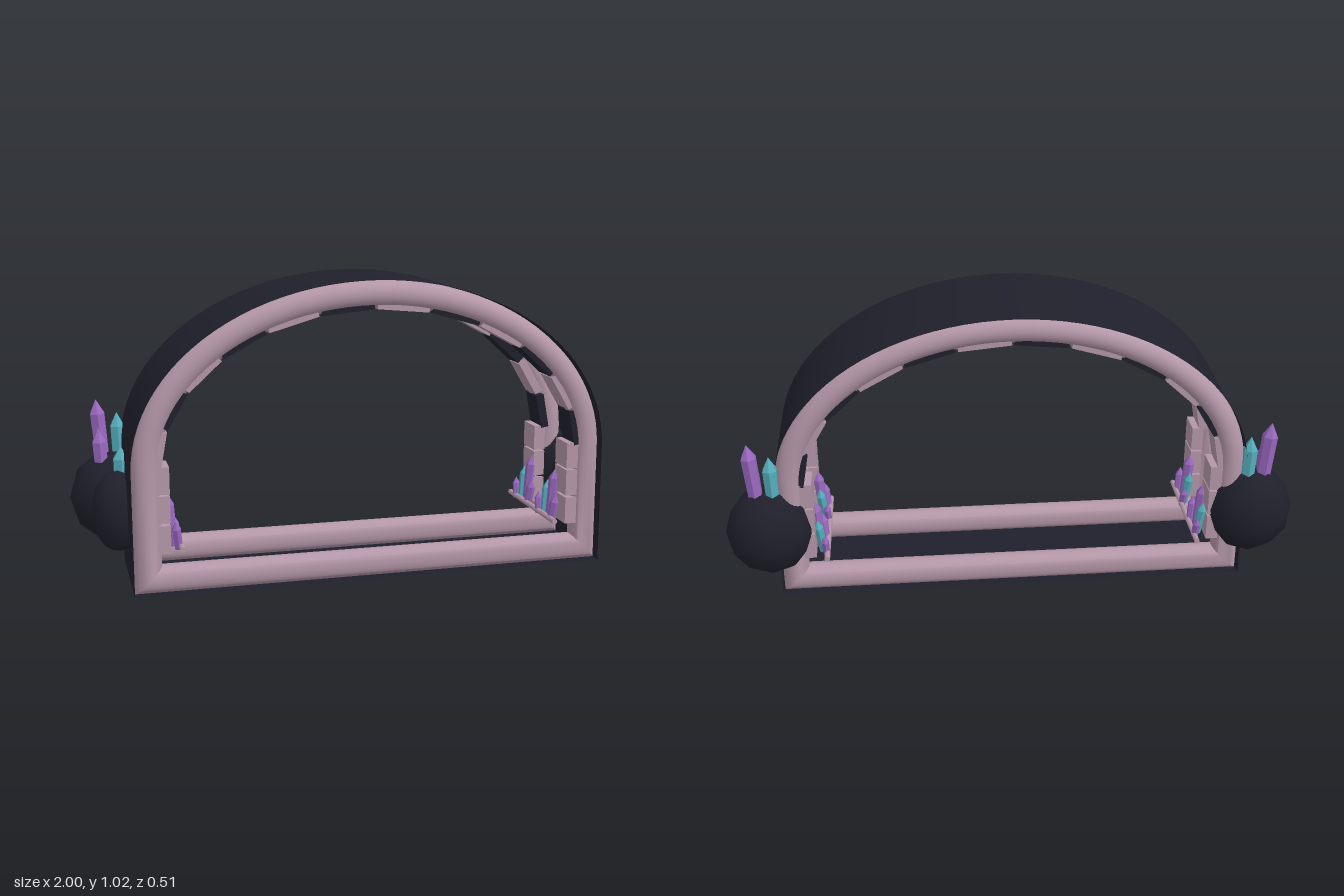
import * as THREE from 'three';
import { toCreasedNormals } from 'three/addons/utils/BufferGeometryUtils.js';

const flat = (name, color, side = THREE.FrontSide) => {
  const m = new THREE.MeshStandardMaterial({ color, side });
  m.name = name;
  return m;
};

const HALF = 0.82, SPRING = 0.42, RISE = 0.602;   // gate outline
const Z_FRONT = 0.26, Z_BACK = -0.17, R = 0.047;  // depth and rim radius

// Closed outline, counter-clockwise: square base, straight legs, elliptical arch
function gateOutline() {
  const pts = [new THREE.Vector2(-HALF, 0), new THREE.Vector2(HALF, 0)];
  const n = 48;
  for (let i = 0; i <= n; i++) {
    const a = (i / n) * Math.PI;
    pts.push(new THREE.Vector2(HALF * Math.cos(a), SPRING + RISE * Math.sin(a)));
  }
  return pts;
}

// Sweep a profile of [outward offset, z] around the outline with mitred corners
function sweep(outline, profile) {
  const count = outline.length, m = profile.length, pos = [], index = [];
  const normal = (a, b) => new THREE.Vector2(b.y - a.y, a.x - b.x).normalize();
  outline.forEach((p, i) => {
    const n1 = normal(outline[(i + count - 1) % count], p);
    const n2 = normal(p, outline[(i + 1) % count]);
    const miter = n1.clone().add(n2).divideScalar(1 + n1.dot(n2));
    for (const [u, z] of profile) pos.push(p.x + miter.x * u, p.y + miter.y * u, z);
  });
  for (let i = 0; i < count; i++) {
    const k = (i + 1) % count;
    for (let j = 0; j < m - 1; j++) {
      const a = i * m + j, b = k * m + j;
      index.push(a, b, b + 1, a, b + 1, a + 1);
    }
  }
  const g = new THREE.BufferGeometry();
  g.setAttribute('position', new THREE.Float32BufferAttribute(pos, 3));
  g.setIndex(index);
  return toCreasedNormals(g, 0.7);
}

// Six-sided crystal with a pointed tip, standing on its base
function crystalGeometry(r, h) {
  const tip = Math.min(h * 0.3, r * 1.8);
  const profile = [[0, 0], [r * 0.9, 0], [r, h - tip], [0, h]].map(([x, y]) => new THREE.Vector2(x, y));
  return toCreasedNormals(new THREE.LatheGeometry(profile, 6), 0.3);
}

export function createModel() {
  const model = new THREE.Group();
  model.name = 'crystalGate';
  const dark = flat('darkStone', 0x20202c, THREE.DoubleSide);
  const pink = flat('dustyPinkStone', 0xb497a8);
  const purple = flat('purpleCrystal', 0x9a68c0);
  const cyan = flat('cyanCrystal', 0x55aebc);

  const add = (parent, name, geometry, material, x = 0, y = 0, z = 0) => {
    const mesh = new THREE.Mesh(geometry, material);
    mesh.name = name;
    mesh.position.set(x, y, z);
    parent.add(mesh);
    return mesh;
  };

  // Thin outer shell, with a round rim inside each open end
  const outline = gateOutline();
  add(model, 'shell', sweep(outline, [[0, Z_BACK], [0, Z_FRONT]]), dark);
  for (const [name, z] of [['frontRim', Z_FRONT - R], ['backRim', Z_BACK + R]]) {
    const circle = [];
    for (let i = 0; i <= 20; i++) {
      const a = (i / 20) * Math.PI * 2;
      circle.push([-R - 0.002 + R * Math.cos(a), z + R * Math.sin(a)]);
    }
    add(model, name, sweep(outline, circle), pink);
  }

  // Alternating stones lining both rims under the arch
  const arch = new THREE.Group();
  arch.name = 'archStones';
  model.add(arch);
  const N = 12, at = (i) => {
    const a = (i / N) * Math.PI;
    return new THREE.Vector2(0.737 * Math.cos(a), SPRING + 0.52 * Math.sin(a));
  };
  const rows = [0.195, -0.105];
  rows.forEach((z) => {
    for (let i = 0; i < N; i++) {
      const p = at(i), q = at(i + 1);
      const stone = add(arch, 'archStone', new THREE.BoxGeometry(p.distanceTo(q) - 0.012, 0.03, 0.1),
        i % 2 ? pink : dark, (p.x + q.x) / 2, (p.y + q.y) / 2, z);
      stone.rotation.z = Math.atan2(q.y - p.y, q.x - p.x);
    }
  });

  // Everything below repeats on both sides
  for (const s of [1, -1]) {
    const side = new THREE.Group();
    side.name = s > 0 ? 'leftSide' : 'rightSide';
    model.add(side);

    const crystal = (mat, x, y, z, r, h, lean = 0, tilt = 0) => {
      const c = add(side, 'crystal', crystalGeometry(r, h), mat, s * x, y, z);
      c.rotation.set(tilt, 0, -s * lean);
    };

    // Stacked leg stones
    for (const z of rows) {
      for (const [y0, y1] of [[0.14, 0.235], [0.243, 0.335], [0.341, 0.432]]) {
        add(side, 'legStone', new THREE.BoxGeometry(0.042, y1 - y0, 0.1), pink, s * 0.716, (y0 + y1) / 2, z);
      }
    }

    // Low rod running front to back
    const rod = add(side, 'rod', new THREE.CylinderGeometry(0.01, 0.01, 0.43, 8), pink, s * 0.657, 0.15, 0.03);
    rod.rotation.x = Math.PI / 2;

    // Small crystal clusters inside
    for (const z of [0.15, -0.07]) {
      crystal(purple, 0.68, 0.14, z, 0.02, 0.18, 0.08);
      crystal(purple, 0.665, 0.14, z + 0.04, 0.016, 0.1, 0.1, 0.15);
      crystal(cyan, 0.672, 0.14, z - 0.035, 0.017, 0.13, 0.12, -0.1);
      crystal(purple, 0.66, 0.14, z - 0.06, 0.014, 0.08, 0.05, -0.2);
    }

    // Two boulders straddling the wall
    const boulder = (name, x, y, z, rx, ry, rz, turn) => {
      const g = new THREE.IcosahedronGeometry(1, 1);
      g.rotateX(turn);
      g.scale(rx, ry, rz);
      add(side, name, g, dark, s * x, y, z);
    };
    boulder('largeBoulder', 0.85, 0.253, -0.135, 0.152, 0.165, 0.122, 0.3);
    boulder('smallBoulder', 0.845, 0.226, -0.012, 0.095, 0.146, 0.092, 0.1);

    // Crystals growing from the boulders
    crystal(purple, 0.88, 0.33, -0.147, 0.028, 0.265, 0.08);
    crystal(purple, 0.89, 0.33, -0.105, 0.027, 0.17, 0.05);
    crystal(cyan, 0.825, 0.33, -0.15, 0.027, 0.215, 0.03);
    crystal(cyan, 0.83, 0.3, -0.03, 0.029, 0.15);
  }
  return model;
}
